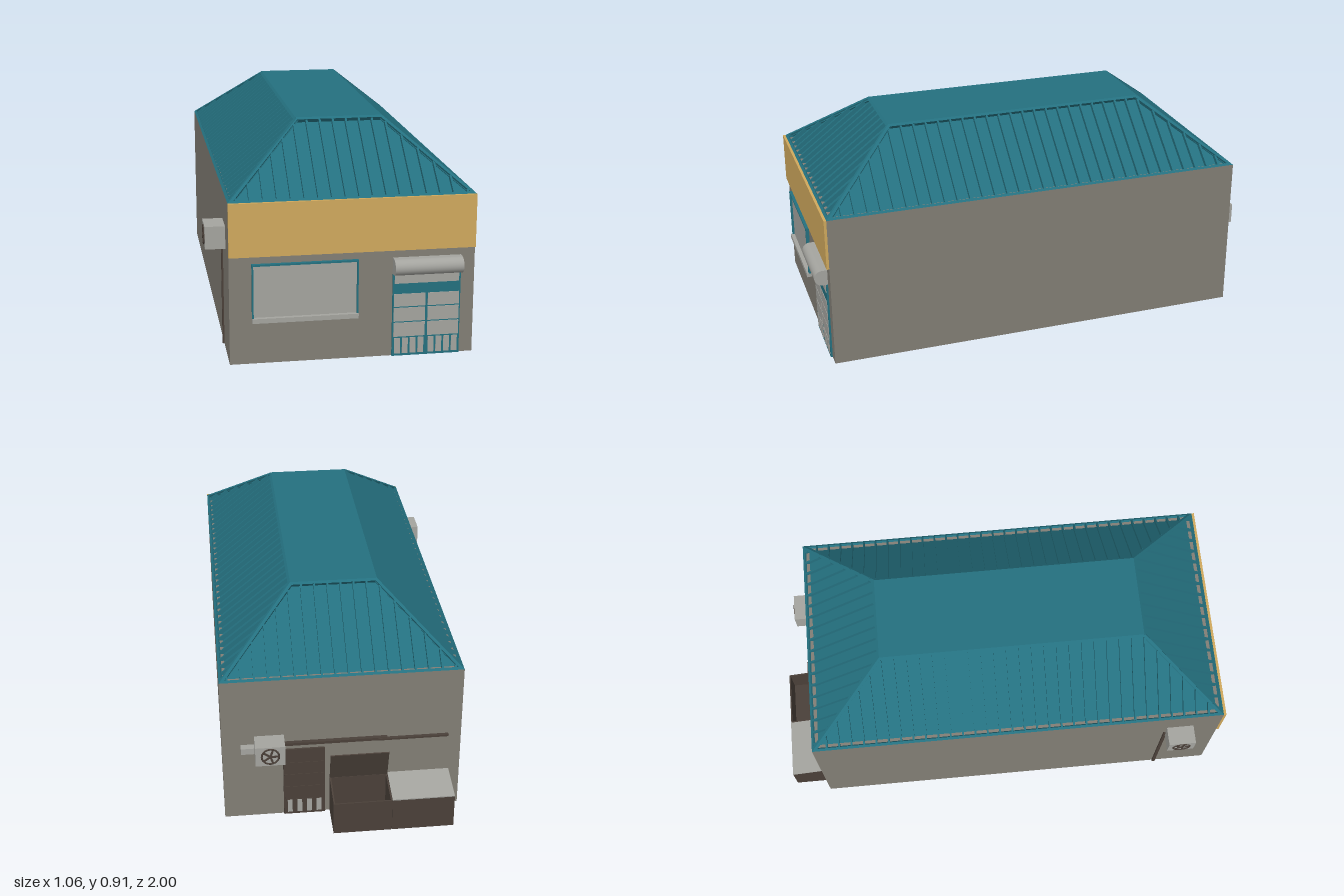
import * as THREE from 'three';

const mat = (name, color) => {
  const m = new THREE.MeshStandardMaterial({ color });
  m.name = name;
  return m;
};

export function createModel() {
  const root = new THREE.Group();
  root.name = 'shopBuilding';
  const teal = mat('tealMetal', 0x24707f);
  const wall = mat('wallPlaster', 0x827e75);
  const ochre = mat('ochreSign', 0xd0a95d);
  const grey = mat('lightGrey', 0xa4a49f);
  const dark = mat('darkBrown', 0x4a4039);

  const add = (parent, name, geo, material) => {
    const m = new THREE.Mesh(geo, material);
    m.name = name;
    parent.add(m);
    return m;
  };
  // Box given by its minimum and maximum on each axis
  const box = (parent, name, material, x0, x1, y0, y1, z0, z1) => {
    const g = new THREE.BoxGeometry(x1 - x0, y1 - y0, z1 - z0);
    g.translate((x0 + x1) / 2, (y0 + y1) / 2, (z0 + z1) / 2);
    return add(parent, name, g, material);
  };
  const group = (name) => {
    const g = new THREE.Group();
    g.name = name;
    root.add(g);
    return g;
  };

  // Walls and sign band
  const X0 = -0.445, X1 = 0.53, Z0 = -0.845, Z1 = 0.945, EAVE = 0.655, TOP = 0.91;
  box(root, 'walls', wall, X0, X1, 0, EAVE, Z0, Z1);
  box(root, 'signBand', ochre, X0, X1, 0.44, EAVE, Z1, 0.956);

  // Roof: four recessed slopes with a raised frame and standing ribs
  const tx0 = -0.135, tx1 = 0.22, tz0 = -0.515, tz1 = 0.61;
  const roof = group('roof');
  const DEPTH = 0.018, TRIM = 0.012, STEP = 0.0535;
  const slope = (name, a, b, c) => {
    const A = new THREE.Vector3(...a), B = new THREE.Vector3(...b), C = new THREE.Vector3(...c);
    const u = B.clone().sub(A);
    const W = u.length();
    u.normalize();
    const up = C.clone().sub(A);
    const inL = up.dot(u);
    const v = up.addScaledVector(u, -inL);
    const L = v.length();
    v.normalize();
    const side = new THREE.Group();
    side.name = name;
    roof.add(side);
    const t = TRIM * Math.hypot(1, inL / L);
    const left = (y) => (inL * y) / L;
    const outline = (inset, k) => {
      const y0 = inset, y1 = L - inset;
      return [[left(y0) + k, y0], [W - left(y0) - k, y0], [W - left(y1) - k, y1], [left(y1) + k, y1]]
        .map((p) => new THREE.Vector2(...p));
    };
    const panel = new THREE.ShapeGeometry(new THREE.Shape(outline(0, 0)));
    add(side, 'roofPanel', panel.translate(0, 0, -DEPTH), teal);
    const rim = new THREE.Shape(outline(0, 0));
    rim.holes.push(new THREE.Path(outline(TRIM, t)));
    const frame = new THREE.ExtrudeGeometry(rim, { depth: DEPTH, bevelEnabled: false });
    add(side, 'roofFrame', frame.translate(0, 0, -DEPTH), teal);
    const n = Math.floor((W / 2 - 0.03) / STEP + 0.5);
    for (let i = 0; i < 2 * n; i++) {
      const x = W / 2 + (i - n + 0.5) * STEP;
      const edge = Math.min(x, W - x) - t;
      const y1 = Math.min(L - TRIM, (edge * L) / inL);
      if (y1 > TRIM + 0.01) box(side, 'roofRib', teal, x - 0.004, x + 0.004, TRIM, y1, -DEPTH, -0.001);
    }
    side.applyMatrix4(new THREE.Matrix4().makeBasis(u, v, u.clone().cross(v)).setPosition(A));
  };
  slope('frontSlope', [X0, EAVE, Z1], [X1, EAVE, Z1], [tx0, TOP, tz1]);
  slope('leftSlope', [X1, EAVE, Z1], [X1, EAVE, Z0], [tx1, TOP, tz1]);
  slope('backSlope', [X1, EAVE, Z0], [X0, EAVE, Z0], [tx1, TOP, tz0]);
  slope('rightSlope', [X0, EAVE, Z0], [X0, EAVE, Z1], [tx0, TOP, tz0]);
  box(roof, 'roofTop', teal, tx0, tx1, TOP - 0.006, TOP, tz0, tz1);

  // Front window
  const win = group('window');
  box(win, 'windowPane', grey, -0.352, 0.057, 0.19, 0.403, Z1, 0.95);
  box(win, 'windowFrameRight', teal, -0.357, -0.351, 0.19, 0.41, Z1, 0.96);
  box(win, 'windowFrameLeft', teal, 0.056, 0.062, 0.19, 0.41, Z1, 0.96);
  box(win, 'windowFrameTop', teal, -0.357, 0.062, 0.403, 0.41, Z1, 0.96);
  box(win, 'windowSill', grey, -0.357, 0.062, 0.173, 0.192, Z1, 0.967);

  // Doors: a backing leaf with thin panes; s is the outward z direction
  const door = (name, s, zw, x0, x1, h, leafMat, paneMat, split, transom) => {
    const g = group(name);
    const plate = (n, m, a, b, c, d, t0, t1) =>
      box(g, n, m, a, b, c, d, Math.min(zw + s * t0, zw + s * t1), Math.max(zw + s * t0, zw + s * t1));
    plate('doorLeaf', leafMat, x0, x1, 0, h, 0, 0.008);
    const pane = (a, b, c, d) => plate('doorPane', paneMat, a, b, c, d, 0.008, 0.01);
    if (transom) pane(x0 + 0.007, x1 - 0.007, 0.303, 0.337);
    const w = (x1 - x0) / split;
    for (let i = 0; i < split; i++) {
      const a = x0 + i * w + 0.005, b = x0 + (i + 1) * w - 0.005;
      for (const [c, d] of [[0.081, 0.14], [0.145, 0.202], [0.207, 0.26]]) pane(a, b, c, d);
      for (let k = 0; k < 4; k++) {
        const p = (b - a) / 4;
        pane(a + k * p + 0.004, a + (k + 1) * p - 0.004, 0.01, 0.075);
      }
    }
  };
  door('frontDoor', 1, Z1, 0.2, 0.474, 0.342, teal, grey, 2, true);
  door('backDoor', -1, Z0, 0.115, 0.285, 0.325, dark, dark, 1, false);
  for (let k = 0; k < 4; k++) {
    const x = 0.124 + k * 0.04;
    box(root, 'backDoorGlazing', grey, x + 0.006, x + 0.026, 0.012, 0.073, Z0 - 0.0115, Z0 - 0.009);
  }

  // Rolled shutter over the front door
  const shutter = group('shutter');
  const roll = new THREE.CylinderGeometry(0.033, 0.033, 0.274, 24);
  roll.rotateZ(Math.PI / 2).translate(0.337, 0.376, 0.967);
  add(shutter, 'shutterRoll', roll, grey);
  box(shutter, 'shutterBack', grey, 0.2, 0.474, 0.343, 0.409, Z1, 0.967);

  // Air conditioners: cabinet with a round fan grille, fan facing local +z
  const airCon = (name, w, h, d) => {
    const g = group(name);
    box(g, 'cabinet', grey, -w / 2, w / 2, -h / 2, h / 2, 0, d);
    const r = h * 0.4;
    add(g, 'fanRing', new THREE.TorusGeometry(r, 0.004, 6, 20).translate(0, 0, d), dark);
    add(g, 'fanHub', new THREE.CylinderGeometry(0.008, 0.008, 0.008, 12).rotateX(Math.PI / 2).translate(0, 0, d), dark);
    for (let i = 0; i < 5; i++) {
      const blade = new THREE.BoxGeometry(r, 0.008, 0.004).translate(r / 2, 0, d + 0.001);
      add(g, 'fanBlade', blade.rotateZ((i * Math.PI * 2) / 5), dark);
    }
    return g;
  };
  const sideUnit = airCon('sideAirConditioner', 0.118, 0.092, 0.08);
  sideUnit.position.set(X0, 0.486, 0.77);
  sideUnit.rotation.y = -Math.PI / 2;
  const backUnit = airCon('backAirConditioner', 0.12, 0.087, 0.085);
  backUnit.position.set(0.34, 0.352, Z0);
  backUnit.rotation.y = Math.PI;

  // Pipes and connection box
  box(root, 'sidePipe', dark, -0.452, X0, 0, 0.47, 0.702, 0.716);
  box(root, 'connectionBox', grey, 0.4, 0.455, 0.33, 0.357, -0.875, Z0);
  box(root, 'backPipe', dark, -0.14, 0.28, 0.35, 0.362, -0.862, Z0);
  box(root, 'backPipeEnd', dark, -0.39, -0.1, 0.352, 0.36, -0.867, -0.853);

  // Rubbish bins with sloping rims: one shut, one open
  const bins = group('bins');
  const binSlice = (name, x0, x1) => {
    const s = new THREE.Shape([[0.845, 0], [1, 0], [1, 0.147], [0.845, 0.172]].map((p) => new THREE.Vector2(...p)));
    const g = new THREE.ExtrudeGeometry(s, { depth: x1 - x0, bevelEnabled: false });
    add(bins, name, g.rotateY(Math.PI / 2).translate(x0, 0, 0), dark);
  };
  binSlice('shutBin', -0.4, -0.145);
  binSlice('openBinRightWall', -0.144, -0.138);
  binSlice('openBinLeftWall', 0.089, 0.095);
  box(bins, 'openBinFloor', dark, -0.139, 0.09, 0, 0.012, -1, Z0);
  box(bins, 'openBinOuterWall', dark, -0.139, 0.09, 0, 0.147, -1, -0.994);
  box(bins, 'openBinInnerWall', dark, -0.139, 0.09, 0, 0.17, -0.852, Z0);
  const lid = (name, material, x0, x1, length, y, z, angle) => {
    const m = box(bins, name, material, x0, x1, 0, 0.005, -length, 0);
    m.position.set(0, y, z);
    m.rotation.x = angle;
  };
  lid('shutLid', grey, -0.4, -0.145, 0.157, 0.171, Z0, -0.16);
  lid('raisedLid', dark, -0.144, 0.095, 0.14, 0.172, -0.853, 1.29);

  return root;
}
